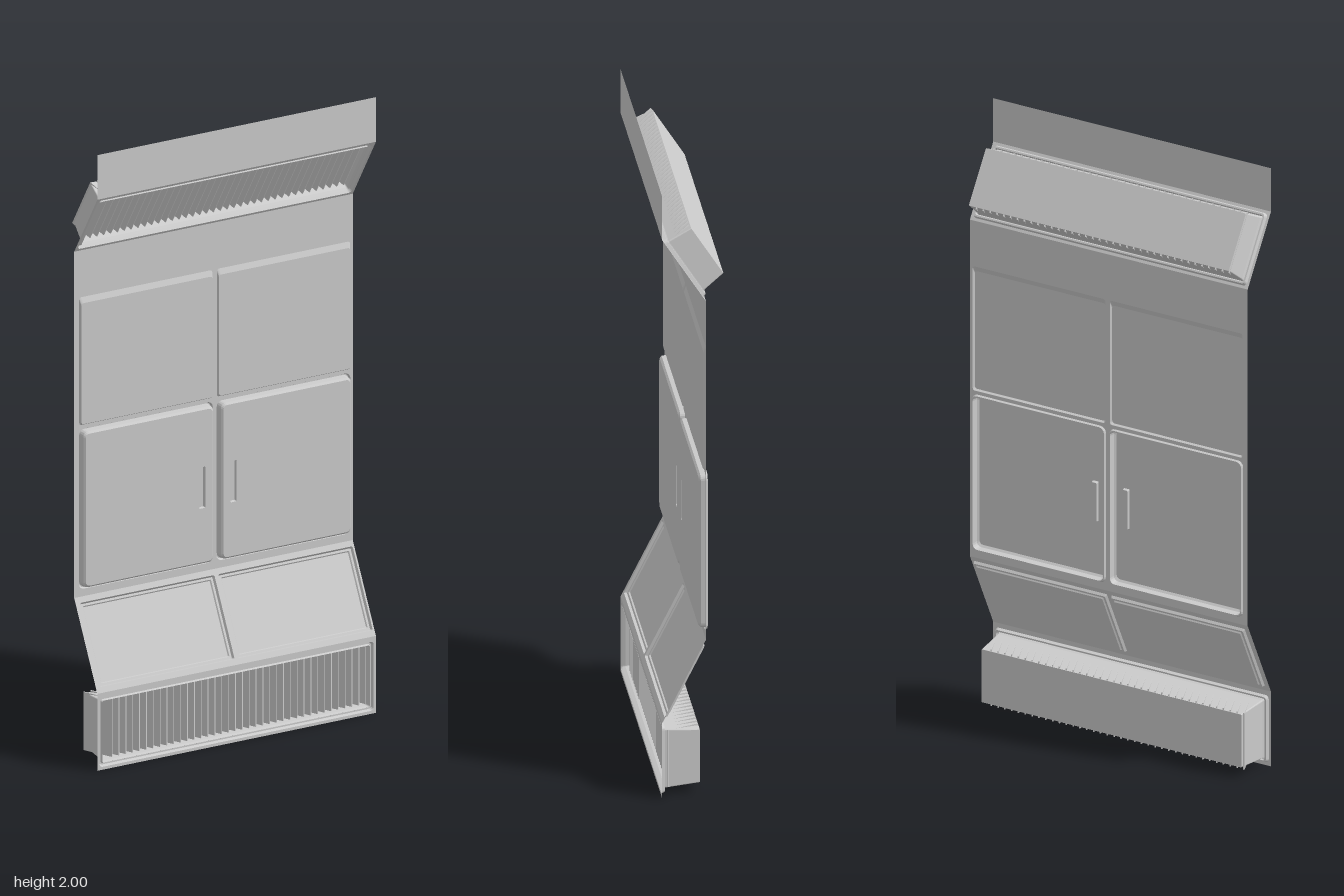
import * as THREE from 'three';

const material = new THREE.MeshStandardMaterial({
  color: 0xcccccc, side: THREE.DoubleSide, flatShading: true,
});

// Corner-rounded rectangle outline, counter-clockwise
function outline({ x = 0, y = 0, w, h, r = 0.01 }) {
  const pts = [];
  for (let c = 0; c < 4; c++) {
    const sx = c === 0 || c === 3 ? 1 : -1;
    const sy = c < 2 ? 1 : -1;
    for (let i = 0; i <= 4; i++) {
      const a = (c + i / 4) * Math.PI / 2;
      pts.push(new THREE.Vector2(
        x + sx * (w / 2 - r) + r * Math.cos(a),
        y + sy * (h / 2 - r) + r * Math.sin(a)));
    }
  }
  return pts;
}

function add(parent, name, geometry) {
  const mesh = new THREE.Mesh(geometry, material);
  mesh.name = name;
  parent.add(mesh);
  return mesh;
}

// Flat sheet with cut-outs
function sheet(parent, name, pts, holes = [], z = 0) {
  const shape = new THREE.Shape(pts);
  holes.forEach((h) => shape.holes.push(new THREE.Path(outline(h))));
  return add(parent, name, new THREE.ShapeGeometry(shape).translate(0, 0, z));
}

// Pressed relief: skin a series of outlines, then cap the last one
function pressed(parent, name, rings, capHoles = []) {
  const loops = rings.map(outline);
  const n = loops[0].length;
  const pos = [];
  const index = [];
  loops.forEach((loop, k) => loop.forEach((p) => pos.push(p.x, p.y, rings[k].z)));
  for (let k = 0; k < loops.length - 1; k++) {
    for (let j = 0; j < n; j++) {
      const a = k * n + j;
      const b = k * n + (j + 1) % n;
      index.push(a, b, a + n, b, b + n, a + n);
    }
  }
  const g = new THREE.BufferGeometry();
  g.setAttribute('position', new THREE.Float32BufferAttribute(pos, 3));
  g.setIndex(index);
  g.computeVertexNormals();
  add(parent, name, g);
  sheet(parent, name + 'Face', loops[loops.length - 1], capHoles, rings[rings.length - 1].z);
}

// Outline shrunk on all sides and moved to height z
const inset = (o, d, z) => ({ ...o, w: o.w - 2 * d, h: o.h - 2 * d, r: Math.max(o.r - d * 0.5, 0.003), z });

// One straight section of the folded wall, between two (z, y) points
function section(root, name, [z0, y0], [z1, y1], holes) {
  const group = new THREE.Group();
  group.name = name;
  group.position.set(0, (y0 + y1) / 2, (z0 + z1) / 2);
  group.rotation.x = Math.atan2(z1 - z0, y1 - y0);
  const l = Math.hypot(z1 - z0, y1 - y0) / 2;
  const pts = [[-0.5, -l], [0.5, -l], [0.5, l], [-0.5, l]].map((p) => new THREE.Vector2(...p));
  sheet(group, name + 'Sheet', pts, holes);
  root.add(group);
  return group;
}

// Vent: stepped rim, tapered box behind and angled slats
function vent(parent, o, depth) {
  pressed(parent, 'ventBox', [
    { ...o, z: 0 }, inset(o, 0.004, -0.01), inset(o, 0.009, -0.01),
    inset(o, 0.012, -0.003), inset(o, 0.015, -0.012),
    inset(o, 0.024, -depth),
  ]);
  const count = 38;
  const angle = 0.4;
  const length = (depth - 0.022) / Math.cos(angle);
  const slat = new THREE.BoxGeometry(0.004, o.h - 0.036, length);
  for (let i = 0; i < count; i++) {
    const m = add(parent, 'ventSlat', slat);
    m.position.set((i - (count - 1) / 2) * 0.0246, o.y, -(depth + 0.018) / 2);
    m.rotation.y = angle;
  }
}

export function createModel() {
  const root = new THREE.Group();
  root.name = 'wallPanel';

  // Folded wall profile as (z, y)
  const P = [[0.1, 0], [0.1, 0.25], [-0.035, 0.52], [-0.035, 1.645], [0.1, 1.855], [0.1, 2]];

  // Lower vent
  const low = { x: 0, y: -0.003, w: 0.984, h: 0.225, r: 0.012 };
  vent(section(root, 'lowerWall', P[0], P[1], [low]), low, 0.12);

  // Sloped section with two recessed panels
  const slopes = [-0.243, 0.253].map((x) => ({ x, y: 0, w: 0.482, h: 0.265, r: 0.005 }));
  const slope = section(root, 'slopedWall', P[1], P[2], slopes);
  slopes.forEach((o) => pressed(slope, 'slopedPanel', [
    { ...o, z: 0 }, inset(o, 0.004, -0.008), inset(o, 0.011, -0.008), inset(o, 0.014, -0.012),
  ]));

  // Middle section: doors below, shallow panels above
  const mid = (P[2][1] + P[3][1]) / 2;
  const doors = [-0.243, 0.251].map((x) => ({ x, y: 0.805 - mid, w: 0.482, h: 0.522, r: 0.02 }));
  const panels = [-0.243, 0.251].map((x) => ({ x, y: 1.285 - mid, w: 0.478, h: 0.415, r: 0.008 }));
  const middle = section(root, 'middleWall', P[2], P[3], [...doors, ...panels]);
  doors.forEach((o, i) => {
    const slot = { x: i ? 0.06 : -0.052, y: o.y - 0.005, w: 0.022, h: 0.134, r: 0.003 };
    pressed(middle, 'door', [
      { ...o, z: 0 }, inset(o, 0.003, -0.007), inset(o, 0.006, -0.007),
      inset(o, 0.008, 0.014), inset(o, 0.014, 0.02),
    ], [slot]);
    pressed(middle, 'handleSlot', [{ ...slot, z: 0.02 }, inset(slot, 0.002, 0.01)]);
  });
  panels.forEach((o) => {
    const face = { ...o, y: o.y - 0.007, w: o.w - 0.008, h: o.h - 0.022, z: 0.007 };
    pressed(middle, 'upperPanel', [{ ...o, z: 0 }, face]);
  });

  // Upper vent on the overhang
  const high = { x: 0, y: 0, w: 0.984, h: 0.232, r: 0.012 };
  vent(section(root, 'overhangWall', P[3], P[4], [high]), high, 0.09);

  // Top band
  section(root, 'topWall', P[4], P[5], []);
  return root;
}
